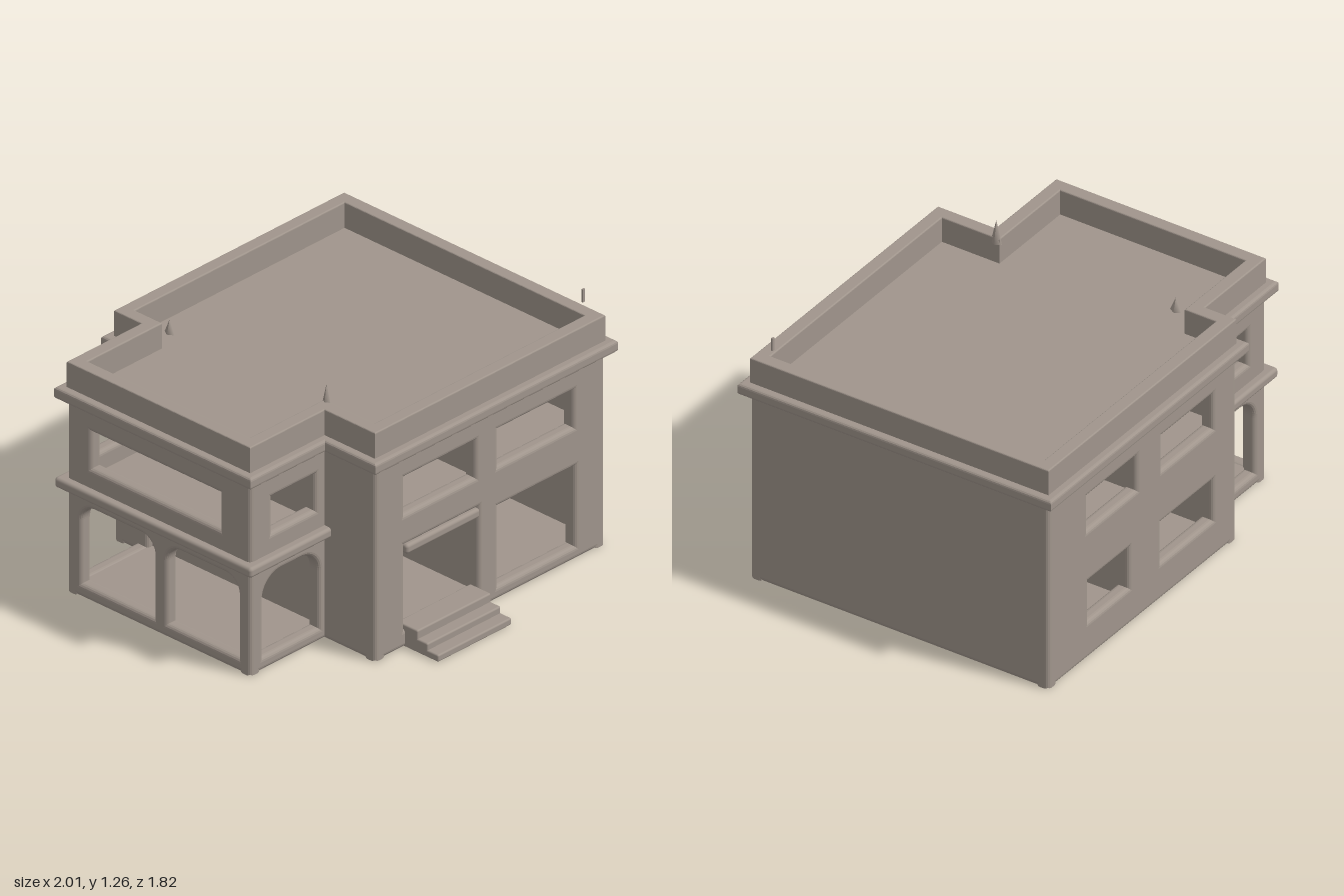
import * as THREE from 'three';
import { RoundedBoxGeometry } from 'three/addons/geometries/RoundedBoxGeometry.js';

const T = 0.07; // wall thickness

export function createModel() {
  const group = new THREE.Group();
  const stone = new THREE.MeshStandardMaterial({ color: 0xa0958c });
  stone.name = 'warm grey stone';

  const add = (name, geo) => {
    const mesh = new THREE.Mesh(geo, stone);
    mesh.name = name;
    group.add(mesh);
    return mesh;
  };

  const box = (name, x0, x1, y0, y1, z0, z1, r = 0) => {
    const s = [x1 - x0, y1 - y0, z1 - z0];
    const geo = r ? new RoundedBoxGeometry(...s, 3, r) : new THREE.BoxGeometry(...s);
    geo.translate((x0 + x1) / 2, (y0 + y1) / 2, (z0 + z1) / 2);
    return add(name, geo);
  };

  // Opening with optional rounded top corners: [u0, u1, y0, y1, radius]
  const opening = ([u0, u1, y0, y1, r = 0]) => {
    const p = new THREE.Path();
    p.moveTo(u0, y0);
    p.lineTo(u1, y0);
    p.lineTo(u1, y1 - r);
    if (r) p.absarc(u1 - r, y1 - r, r, 0, Math.PI / 2, false);
    p.lineTo(u0 + r, y1);
    if (r) p.absarc(u0 + r, y1 - r, r, Math.PI / 2, Math.PI, false);
    p.lineTo(u0, y0);
    return p;
  };

  // Softly bevelled wall with openings
  const wallGeometry = (u0, u1, holes) => {
    const b = 0.022;
    const shape = new THREE.Shape([[u0, 0], [u1, 0], [u1, 1], [u0, 1]].map(p => new THREE.Vector2(...p)));
    shape.holes = holes.map(opening);
    const geo = new THREE.ExtrudeGeometry(shape, {
      depth: T - 2 * b, bevelSize: b, bevelThickness: b, bevelOffset: -b, bevelSegments: 4, curveSegments: 8,
    });
    return geo.translate(0, 0, b);
  };
  const wallAlongX = (name, x0, x1, zMin, holes = []) =>
    add(name, wallGeometry(x0, x1, holes).translate(0, 0, zMin));
  const wallAlongZ = (name, z0, z1, xMax, holes = []) =>
    add(name, wallGeometry(z0, z1, holes).rotateY(-Math.PI / 2).translate(xMax, 0, 0));

  // Footprint of main block plus wing, grown by d
  const footprint = d => [
    [-0.49 - d, -0.87 - d], [0.965 + d, -0.87 - d], [0.965 + d, 0.71 + d], [-0.49 - d, 0.71 + d],
    [-0.49 - d, 0.405 + d], [-0.96 - d, 0.405 + d], [-0.96 - d, -0.705 - d], [-0.49 - d, -0.705 - d],
  ].map(p => new THREE.Vector2(...p));

  const slab = (name, points, y0, y1, b = 0, hole = null) => {
    const shape = new THREE.Shape(points);
    if (hole) shape.holes.push(new THREE.Path(hole));
    const geo = new THREE.ExtrudeGeometry(shape, {
      depth: y1 - y0 - 2 * b, bevelEnabled: b > 0, bevelSize: b, bevelThickness: b, bevelOffset: -b, bevelSegments: 3,
    });
    add(name, geo.rotateX(Math.PI / 2).translate(0, y1 - b, 0));
  };

  // Horizontal parts
  slab('groundFloor', footprint(-0.012), 0, 0.06);
  slab('roofCornice', footprint(0.04), 0.965, 1.022, 0.014);
  slab('parapet', footprint(0), 1.0, 1.15, 0.006, footprint(-0.065));
  box('upperFloor', -0.45, 0.93, 0.53, 0.63, -0.83, 0.67);
  box('wingCornice', -1, -0.45, 0.52, 0.57, -0.745, 0.445, 0.016);

  // Main block walls
  wallAlongX('frontWall', -0.49, 0.965, 0.71 - T, [
    [-0.3, 0.165, 0.09, 0.51], [0.29, 0.775, 0.065, 0.465],
    [-0.3, 0.145, 0.665, 0.85], [0.29, 0.765, 0.665, 0.85],
  ]);
  wallAlongX('backWall', -0.49, 0.965, -0.87, [
    [-0.31, 0.09, 0.19, 0.4], [0.34, 0.65, 0.19, 0.4],
    [-0.31, 0.08, 0.67, 0.85], [0.28, 0.66, 0.67, 0.85],
  ]);
  wallAlongZ('leftWall', -0.87, 0.71, 0.965);
  wallAlongZ('rightWall', -0.87, 0.71, -0.49 + T);

  // Wing walls with arches below and windows above
  const arch = [-0.875, -0.525, 0.065, 0.462, 0.11];
  const wingWindow = [-0.82, -0.55, 0.665, 0.845];
  wallAlongX('wingFrontWall', -0.96, -0.46, 0.405 - T, [arch, wingWindow]);
  wallAlongX('wingBackWall', -0.96, -0.46, -0.705, [arch, wingWindow]);
  wallAlongZ('wingSideWall', -0.705, 0.405, -0.96 + T, [
    [-0.62, -0.18, 0.065, 0.462, 0.08], [-0.1, 0.33, 0.065, 0.462, 0.08], [-0.56, 0.22, 0.665, 0.85],
  ]);

  // Inner partitions
  box('hallPartition', -0.45, 0.24, 0.05, 0.55, -0.12, -0.08);
  box('roomPartition', 0.2, 0.24, 0.05, 0.55, -0.83, 0.66);
  box('upperPartition', -0.45, 0.93, 0.62, 0.98, -0.12, -0.08);
  box('upperRoomPartition', 0.2, 0.24, 0.62, 0.98, -0.83, 0.66);

  // Entrance
  box('doorLintel', -0.3, 0.165, 0.465, 0.512, 0.65, 0.722, 0.015);
  [[0.035, 0.91], [0.068, 0.845], [0.11, 0.785]].forEach(([y, z], i) =>
    box('entranceStep' + (i + 1), -0.3, 0.165, 0, y, 0.66, z, 0.008));

  // Roof spikes at the inner corners and a thin mast
  [[0.36, 0.12], [-0.59, 0.07]].forEach(([z, h]) => {
    const geo = new THREE.ConeGeometry(0.03, h, 4).scale(0.6, 1, 1);
    add('roofSpike', geo.translate(-0.43, 1.12 + h / 2, z));
  });
  box('roofMast', 0.913, 0.927, 1.2, 1.265, 0.616, 0.624);

  return group;
}
